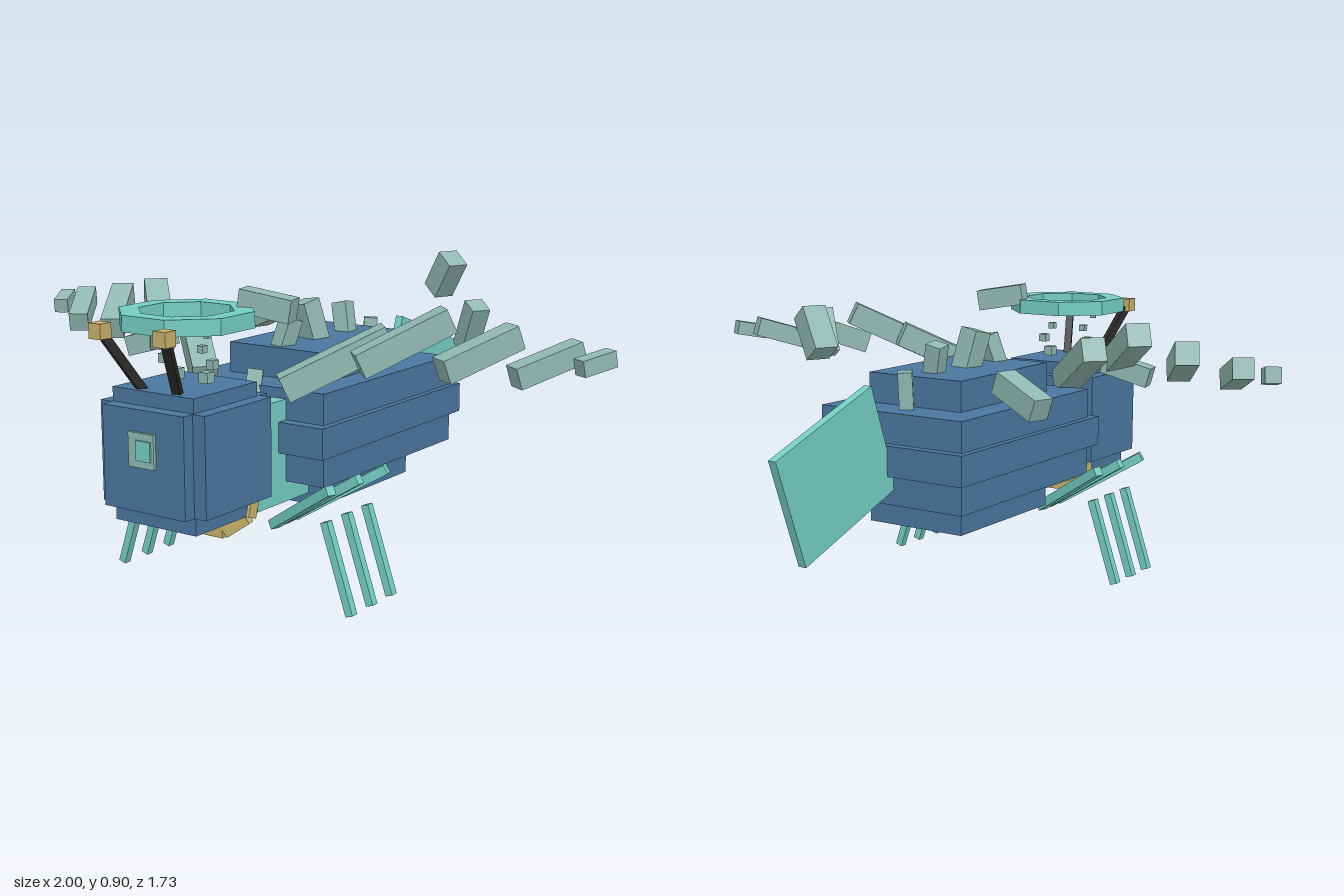
import * as THREE from 'three';

const mat = (name, color) => {
  const m = new THREE.MeshStandardMaterial({ color });
  m.name = name;
  return m;
};

export function createModel() {
  const blue = mat('shell blue', 0x4a769f);
  const teal = mat('bright teal', 0x73cdc3);
  const grey = mat('grey green', 0x90b8b0);
  const gold = mat('dull gold', 0xc6b06a);
  const black = mat('near black', 0x2b2a28);

  const model = new THREE.Group();
  model.name = 'blockInsect';

  const add = (name, geometry, material, parent = model) => {
    const mesh = new THREE.Mesh(geometry, material);
    mesh.name = name;
    parent.add(mesh);
    return mesh;
  };
  // Box given by its lower and upper corners
  const block = (name, lo, hi, material, parent) => {
    const mesh = add(name, new THREE.BoxGeometry(hi[0] - lo[0], hi[1] - lo[1], hi[2] - lo[2]), material, parent);
    mesh.position.set((lo[0] + hi[0]) / 2, (lo[1] + hi[1]) / 2, (lo[2] + hi[2]) / 2);
    return mesh;
  };
  // Bar running from point a to point b
  const bar = (name, a, b, w, h, material, parent) => {
    const p = new THREE.Vector3(...a), q = new THREE.Vector3(...b);
    const mesh = add(name, new THREE.BoxGeometry(w, h, p.distanceTo(q)), material, parent);
    mesh.position.copy(p).lerp(q, 0.5);
    mesh.lookAt(q);
    return mesh;
  };
  const group = (name) => {
    const g = new THREE.Group();
    g.name = name;
    model.add(g);
    return g;
  };

  // Stepped abdomen
  const abdomen = group('abdomen');
  block('abdomenCore', [-0.165, 0.226, -0.24], [0.165, 0.68, 0.23], blue, abdomen);
  block('abdomenShell', [-0.25, 0.32, -0.36], [0.25, 0.59, 0.34], blue, abdomen);
  block('abdomenBelt', [-0.27, 0.41, -0.39], [0.27, 0.5, 0.375], blue, abdomen);

  // Neck
  block('neck', [-0.12, 0.26, 0.22], [0.12, 0.56, 0.5], teal);

  // Head from three crossing boxes, with the face plate
  const head = group('head');
  block('headTall', [-0.14, 0.27, 0.5], [0.14, 0.64, 0.77], blue, head);
  block('headWide', [-0.18, 0.32, 0.49], [0.18, 0.6, 0.775], blue, head);
  block('headLong', [-0.14, 0.32, 0.455], [0.14, 0.6, 0.812], blue, head);
  block('facePlate', [-0.044, 0.445, 0.812], [0.044, 0.54, 0.821], grey, head);
  block('faceInset', [-0.015, 0.465, 0.821], [0.035, 0.52, 0.826], teal, head);

  // Upright tail blade
  const tail = add('tailBlade', new THREE.BoxGeometry(0.026, 0.33, 0.43), teal);
  tail.position.set(0, 0.453, -0.605);
  tail.rotation.x = -0.346;

  // Octagonal halo
  const octagon = (path, flat) => {
    const r = flat / Math.cos(Math.PI / 8);
    for (let i = 0; i < 8; i++) {
      const a = (i + 0.5) * Math.PI / 4;
      path[i ? 'lineTo' : 'moveTo'](r * Math.cos(a), r * Math.sin(a));
    }
    path.closePath();
    return path;
  };
  const ring = octagon(new THREE.Shape(), 0.176);
  ring.holes.push(octagon(new THREE.Path(), 0.124));
  const halo = add('halo', new THREE.ExtrudeGeometry(ring, { depth: 0.045, bevelEnabled: false }), teal);
  halo.rotation.x = -Math.PI / 2;
  halo.position.set(0, 0.798, 0.625);

  // Jaw: a tilted half ring of bars below the head
  const jawPath = [[-0.135, 0.31, 0.525], [-0.135, 0.265, 0.54], [-0.07, 0.218, 0.558],
    [0.07, 0.218, 0.558], [0.135, 0.265, 0.54], [0.135, 0.31, 0.525]];
  const jaw = group('jaw');
  for (let i = 0; i < jawPath.length - 1; i++) {
    bar('jawSegment', jawPath[i], jawPath[i + 1], 0.03, 0.035, gold, jaw);
  }

  // Wing bars: start, end, thickness
  const wingBars = [
    [[0.14, 0.6, 0.38], [0.36, 0.74, 0.18], 0.075],
    [[0.35, 0.68, 0.32], [0.53, 0.8, 0.14], 0.072],
    [[0.59, 0.685, 0.28], [0.71, 0.765, 0.09], 0.068],
    [[0.78, 0.68, 0.23], [0.89, 0.74, 0.07], 0.06],
    [[0.93, 0.71, 0.155], [0.98, 0.73, 0.065], 0.045],
  ];

  for (const s of [1, -1]) {
    const side = s > 0 ? 'left' : 'right';
    const m = ([x, y, z]) => [s * x, y, z];

    const wing = group(side + 'Wing');
    for (const [a, b, t] of wingBars) bar('wingBar', m(a), m(b), t, t, grey, wing);

    // Antenna with a gold tip
    const antenna = group(side + 'Antenna');
    bar('antennaStalk', m([0.06, 0.63, 0.735]), m([0.11, 0.8, 0.84]), 0.024, 0.024, black, antenna);
    block('antennaTip', [s * 0.11 - 0.021, 0.784, 0.823], [s * 0.11 + 0.021, 0.826, 0.865], gold, antenna);

    // Three legs, each an upper bar and a detached lower bar
    const legs = group(side + 'Legs');
    for (const k of [-1, 0, 1]) {
      bar('upperLeg', m([0.115, 0.205, 0.34 + k * 0.055]), m([0.37, 0.365, 0.34 + k * 0.14]), 0.028, 0.028, teal, legs);
      bar('lowerLeg', m([0.33, 0.262, 0.342 + k * 0.102]), m([0.415, 0.008, 0.342 + k * 0.102]), 0.024, 0.024, teal, legs);
    }

    // Small motes rising from the head
    const motes = group(side + 'Motes');
    for (let i = 0; i < 4; i++) {
      const r = 0.015 - i * 0.0025;
      const x = s * (0.07 + [-0.018, 0.014, -0.01, 0.02][i]), y = 0.66 + i * 0.041, z = 0.608 + i * 0.013;
      block('mote', [x - r, y - r, z - r], [x + r, y + r, z + r], grey, motes);
    }
  }

  // Leaning spikes along the back
  const spikes = group('backSpikes');
  const spikeBars = [
    [[0, 0.55, 0.34], [0, 0.63, 0.32], 0.045],
    [[-0.01, 0.66, 0.185], [0.015, 0.76, 0.165], 0.05],
    [[0, 0.66, 0.02], [-0.025, 0.79, 0.045], 0.065],
    [[0.01, 0.66, -0.13], [-0.015, 0.765, -0.145], 0.05],
    [[0, 0.57, -0.275], [0, 0.7, -0.285], 0.042],
  ];
  for (const [a, b, t] of spikeBars) {
    bar('spike', a, b, t, t, grey, spikes).rotateZ(0.6);
  }

  // Loose bars drifting around the body
  const drift = group('driftingBars');
  const driftBars = [
    [[0.11, 0.77, -0.52], [0.18, 0.88, -0.49], 0.07],
    [[0.08, 0.86, 0.485], [0.225, 0.835, 0.445], 0.065],
    [[-0.5, 0.645, -0.35], [-0.35, 0.705, -0.305], 0.065],
    [[0.48, 0.69, -0.045], [0.535, 0.82, -0.01], 0.055],
    [[-0.48, 0.65, 0.315], [-0.34, 0.69, 0.285], 0.06],
  ];
  for (const [a, b, t] of driftBars) bar('driftingBar', a, b, t, t, grey, drift);

  return model;
}
